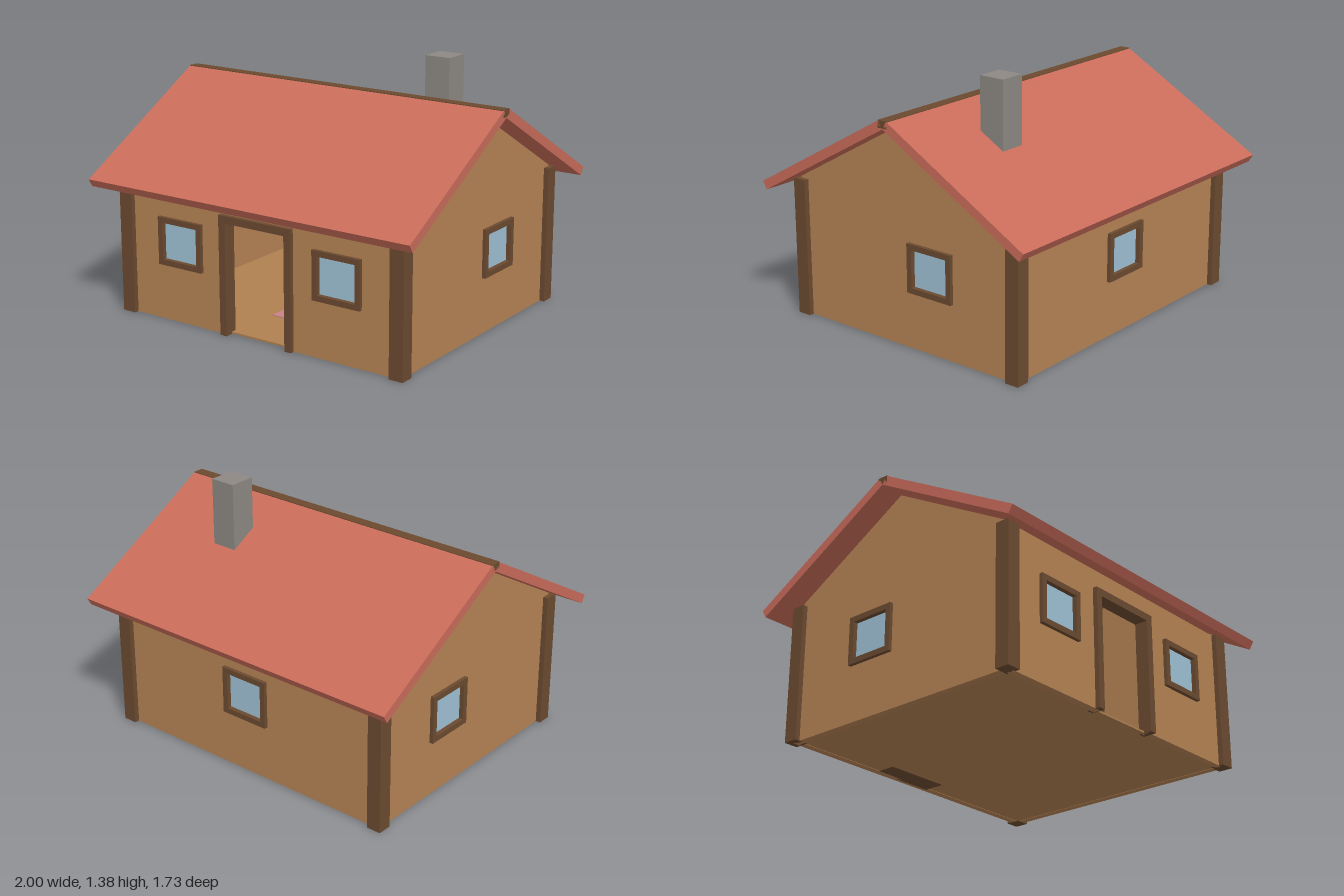
import * as THREE from 'three';

const mat = (color) => new THREE.MeshStandardMaterial({ color, flatShading: true });
const M = {
  wall: mat(0xb58354), timber: mat(0x6b4a30), roof: mat(0xc96c5a), glass: mat(0x9fc1d5),
  stone: mat(0x8d8883), floor: mat(0xb08050), rug: mat(0xc98088),
};
const SLOPE = 0.565, WALL_T = 0.04;

// box given by its min and max on each axis
function box(name, m, [x0, x1], [y0, y1], [z0, z1]) {
  const mesh = new THREE.Mesh(new THREE.BoxGeometry(x1 - x0, y1 - y0, z1 - z0), m);
  mesh.position.set((x0 + x1) / 2, (y0 + y1) / 2, (z0 + z1) / 2);
  mesh.name = name;
  return mesh;
}

const poly = (pts) => new THREE.Shape(pts.map(([x, y]) => new THREE.Vector2(x, y)));
const rect = (x, y, w, h) => poly([
  [x - w / 2, y - h / 2], [x + w / 2, y - h / 2], [x + w / 2, y + h / 2], [x - w / 2, y + h / 2]]);

function extrude(name, shape, depth, m, holes = []) {
  shape.holes.push(...holes);
  const mesh = new THREE.Mesh(new THREE.ExtrudeGeometry(shape, { depth, bevelEnabled: false }), m);
  mesh.name = name;
  return mesh;
}

// wall facing local +z, with framed windows centred at the given local x values
function wall(name, outline, windowXs) {
  const g = new THREE.Group();
  g.name = name;
  const y = 0.435, w = 0.285, h = 0.26, b = 0.03;
  const panel = extrude('wallPanel', poly(outline), WALL_T, M.wall,
    windowXs.map((x) => rect(x, y, w - b, h - b)));
  panel.position.z = -WALL_T;
  g.add(panel);
  for (const x of windowXs) {
    const frame = extrude('windowFrame', rect(x, y, w, h), WALL_T + 0.035, M.timber,
      [rect(x, y, w - 2 * b, h - 2 * b)]);
    frame.position.z = -WALL_T - 0.015;
    g.add(frame, box('windowPane', M.glass,
      [x - w / 2 + b, x + w / 2 - b], [y - h / 2 + b, y + h / 2 - b], [-0.025, -0.005]));
  }
  return g;
}

export function createModel() {
  const house = new THREE.Group();
  house.name = 'cabin';

  // long walls, the front one notched for the doorway
  const X = 0.825, H = 0.75, D = 0.19;
  const front = wall('frontWall',
    [[-X, 0], [-D, 0], [-D, 0.61], [D, 0.61], [D, 0], [X, 0], [X, H], [-X, H]], [-0.495, 0.495]);
  front.position.z = 0.72;
  const back = wall('backWall', [[-X, 0], [X, 0], [X, H], [-X, H]], [0]);
  back.position.z = -0.72;
  back.rotation.y = Math.PI;
  house.add(front, back);

  // gable walls
  for (const s of [1, -1]) {
    const gable = wall(s > 0 ? 'leftGable' : 'rightGable',
      [[-0.72, 0], [0.72, 0], [0.72, 0.758], [0, 1.165], [-0.72, 0.758]], [s * 0.175]);
    gable.position.x = s * 0.865;
    gable.rotation.y = s * Math.PI / 2;
    house.add(gable);
  }

  // corner posts
  for (const sx of [1, -1]) for (const sz of [1, -1]) {
    const post = box('cornerPost', M.timber, [-0.04, 0.04], [0, 0.75], [-0.039, 0.039]);
    post.position.x = sx * 0.853;
    post.position.z = sz * 0.708;
    house.add(post);
  }

  // door frame
  const zr = [0.67, 0.745];
  house.add(
    box('doorJamb', M.timber, [-0.226, -0.186], [0, 0.645], zr),
    box('doorJamb', M.timber, [0.186, 0.226], [0, 0.645], zr),
    box('doorLintel', M.timber, [-0.186, 0.186], [0.605, 0.645], zr));

  // roof slabs, meeting in a shallow groove at the ridge
  for (const s of [1, -1]) {
    const eave = 0.84, drop = eave * SLOPE, nx = 0.025, ny = 0.042;
    const slab = extrude(s > 0 ? 'frontRoof' : 'backRoof',
      poly([[0, 1.168], [eave, 1.168 - drop], [eave + nx, 1.168 - drop + ny], [nx, 1.168 + ny]]), 2, M.roof);
    slab.rotation.y = s * Math.PI / 2;
    slab.position.x = -s;
    slab.rotation.y = -s * Math.PI / 2;
    slab.position.x = s;
    house.add(slab);
  }
  house.add(box('ridgeBeam', M.timber, [-1, 1], [1.172, 1.211], [-0.03, 0.03]));

  // chimney
  house.add(box('chimney', M.stone, [0.39, 0.535], [0.99, 1.38], [-0.365, -0.22]));

  // floor and rug
  house.add(
    box('floor', M.floor, [-0.84, 0.84], [0.002, 0.012], [-0.7, 0.7]),
    box('rug', M.rug, [-0.16, 0.16], [0.012, 0.018], [-0.09, 0.39]));

  // bookcase against the back wall
  const bookcase = new THREE.Group();
  bookcase.name = 'bookcase';
  const bz = [-0.68, -0.58];
  bookcase.add(
    box('bookcaseBack', M.timber, [-0.29, 0.085], [0, 0.525], [-0.7, -0.68]),
    box('bookcaseSide', M.timber, [-0.29, -0.27], [0, 0.525], bz),
    box('bookcaseSide', M.timber, [0.065, 0.085], [0, 0.525], bz),
    box('bookcaseTop', M.timber, [-0.27, 0.065], [0.505, 0.525], bz),
    box('bookcaseBase', M.timber, [-0.27, 0.065], [0, 0.02], bz));
  for (const y of [0.255, 0.405]) {
    bookcase.add(box('bookcaseShelf', M.wall, [-0.27, 0.065], [y, y + 0.015], bz));
  }
  house.add(bookcase);
  return house;
}
